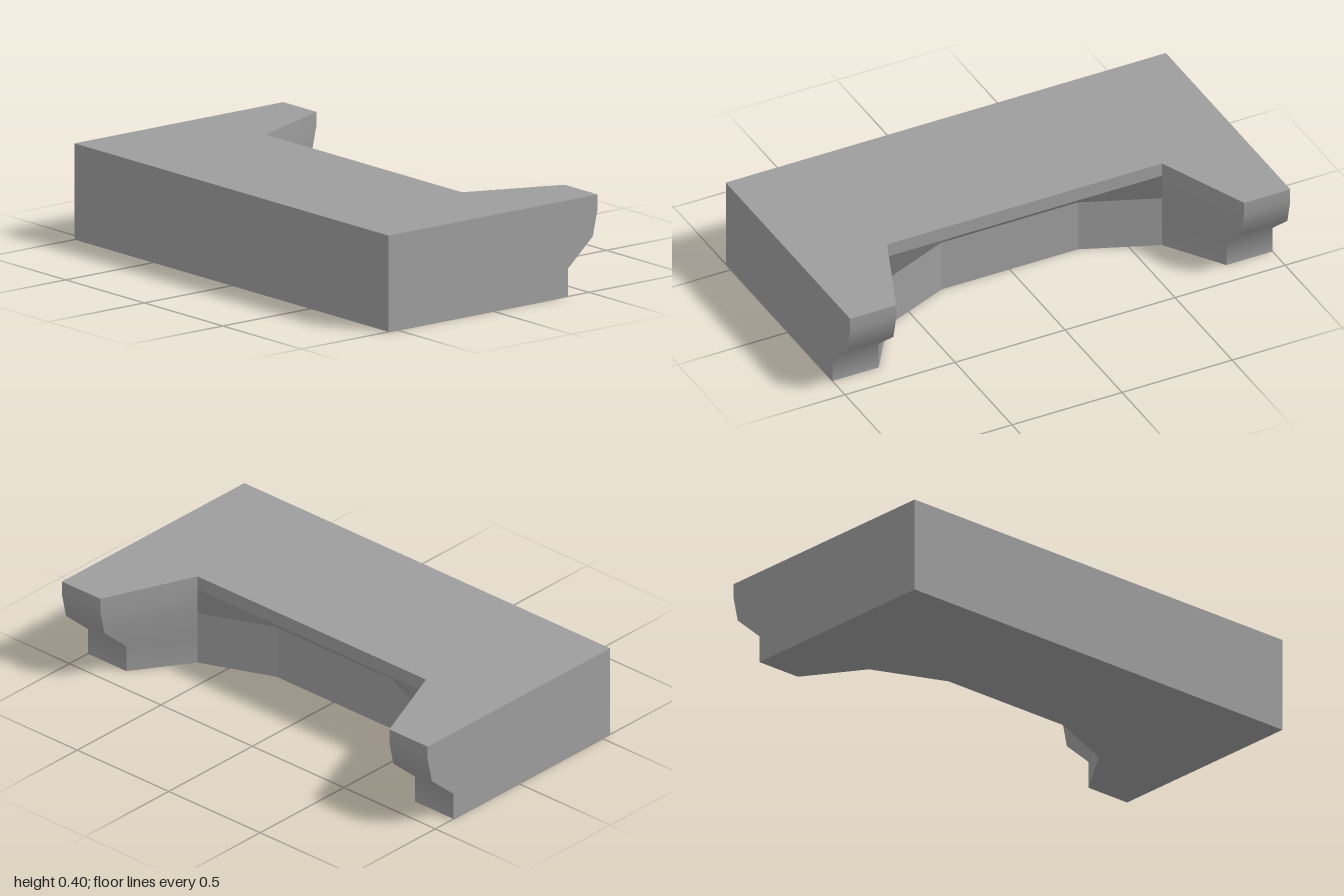
import * as THREE from 'three';

const LEVELS = [0.4, 0.34, 0.23, 0.115, 0]; // heights of the profile points, top down
const BACK = -0.545;

// x of the notched side at each level, per station along z
const TIP = [0.545, 0.545, 0.52, 0.39, 0.39];
const CORNER = [0.145, 0.145, 0.145, 0.145, 0.145];
const RECESS = [0.145, 0.145, 0.015, 0.015, 0.015];
const half = [[1, TIP], [0.79, TIP], [0.625, CORNER], [0.31, RECESS]];
const STATIONS = [...half, ...half.map(([z, xs]) => [-z, xs]).reverse()];

// Wall between two neighbouring stations, facing +x.
// Each band has one normal; smooth walls blend it with the bands above and below.
function wall([za, xa], [zb, xb], smooth) {
  const a = LEVELS.map((y, i) => new THREE.Vector3(xa[i], y, za));
  const b = LEVELS.map((y, i) => new THREE.Vector3(xb[i], y, zb));
  const bands = LEVELS.slice(1).map((_, i) =>
    b[i + 1].clone().sub(a[i]).cross(b[i].clone().sub(a[i + 1])));
  const normalAt = (level, band) => {
    const n = bands[band].clone();
    const other = bands[level === band ? band - 1 : band + 1];
    if (smooth && other) n.add(other);
    return n.normalize();
  };
  const pos = [], nor = [], index = [];
  bands.forEach((_, i) => {
    for (const level of [i, i + 1]) {
      const n = normalAt(level, i);
      pos.push(...a[level], ...b[level]);
      nor.push(...n, ...n);
    }
    const [a0, b0, a1, b1] = [0, 1, 2, 3].map((k) => 4 * i + k);
    if (za + zb >= 0) index.push(a0, a1, b1, a0, b1, b0);
    else index.push(a0, a1, b0, b0, a1, b1);
  });
  const geo = new THREE.BufferGeometry();
  geo.setAttribute('position', new THREE.Float32BufferAttribute(pos, 3));
  geo.setAttribute('normal', new THREE.Float32BufferAttribute(nor, 3));
  geo.setIndex(index);
  return geo;
}

// Flat polygon facing +z
const flat = (pts) => new THREE.ShapeGeometry(
  new THREE.Shape(pts.map(([x, y]) => new THREE.Vector2(x, y))));

export function createModel() {
  const group = new THREE.Group();
  const material = new THREE.MeshStandardMaterial({ color: 0x9d9d9d });
  const add = (name, geo) => {
    const mesh = new THREE.Mesh(geo, material);
    mesh.name = name;
    group.add(mesh);
  };

  // Top and bottom follow the notched outline
  const outline = (level, sign) => [
    [BACK, sign * 1],
    ...STATIONS.map(([z, xs]) => [xs[level], sign * z]),
    [BACK, sign * -1],
  ];
  add('topFace', flat(outline(0, -1)).rotateX(-Math.PI / 2).translate(0, LEVELS[0], 0));
  add('bottomFace', flat(outline(4, 1)).rotateX(Math.PI / 2));

  // End faces carry the stepped wing profile
  const profile = (sign) => [
    [sign * BACK, LEVELS[0]],
    ...TIP.map((x, i) => [sign * x, LEVELS[i]]),
    [sign * BACK, 0],
  ];
  add('frontEnd', flat(profile(1)).translate(0, 0, 1));
  add('rearEnd', flat(profile(-1)).rotateY(Math.PI).translate(0, 0, -1));

  // Plain long side
  add('plainSide', new THREE.PlaneGeometry(2, LEVELS[0])
    .rotateY(-Math.PI / 2).translate(BACK, LEVELS[0] / 2, 0));

  // Rounded wing tips and flanks, crisp undercut recess
  const names = ['wingTip', 'wingFlank', 'recessCorner', 'recessWall',
    'recessCorner', 'wingFlank', 'wingTip'];
  names.forEach((name, i) =>
    add(name, wall(STATIONS[i], STATIONS[i + 1], name.startsWith('wing'))));

  return group;
}
